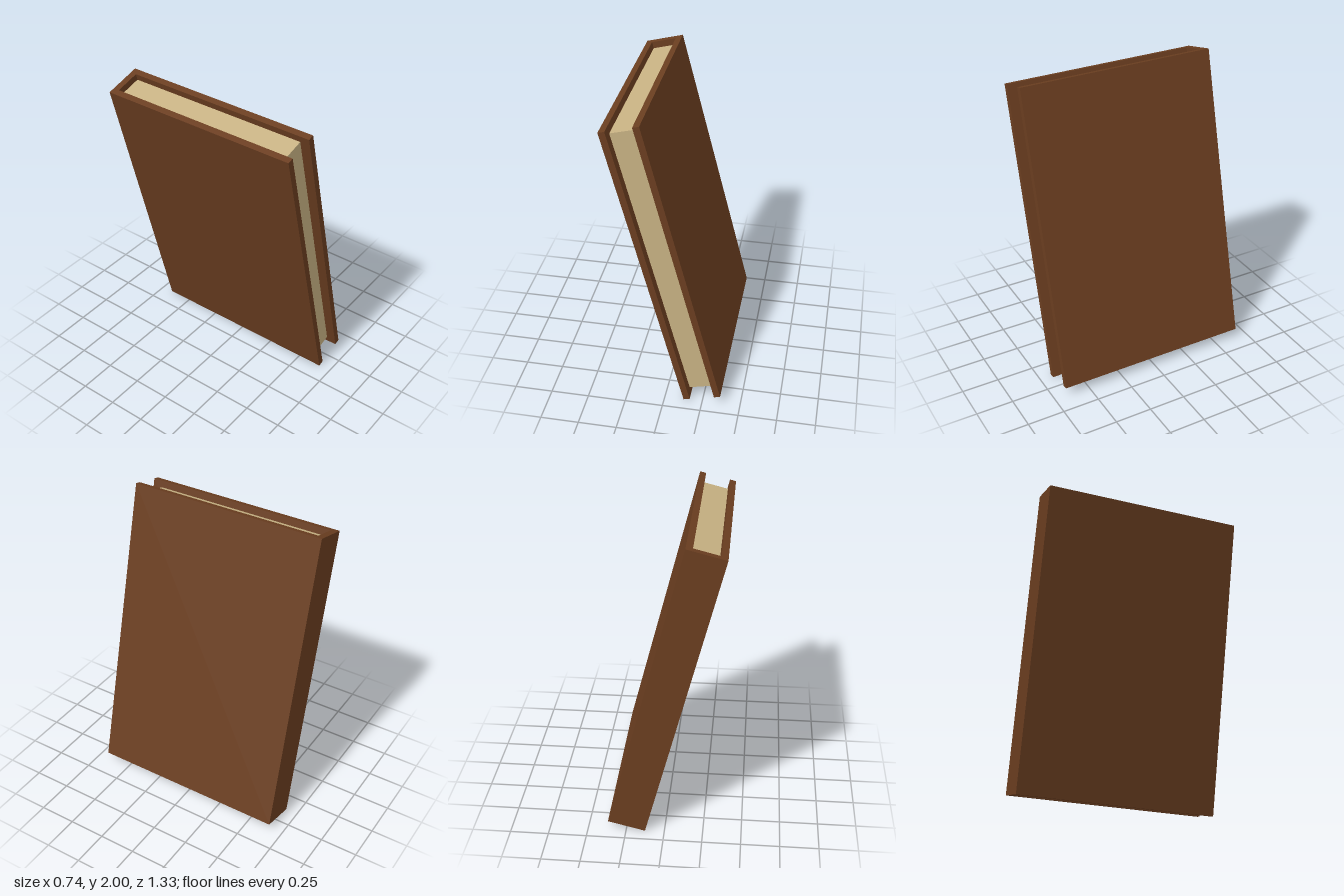
import * as THREE from 'three';

const W = 0.25, H = 2, D = 1.334; // book thickness, height and depth
const T = 0.0417;                 // board thickness

export function createModel() {
  const model = new THREE.Group();
  model.name = 'leaningBook';

  // Cover: U-shaped section (two boards joined by the spine), extruded along the height
  const w = W / 2, d = D / 2;
  const section = new THREE.Shape([
    [-w, -d], [-w + T, -d], [-w + T, d - T], [w - T, d - T],
    [w - T, -d], [w, -d], [w, d], [-w, d],
  ].map(([x, y]) => new THREE.Vector2(x, y)));
  const coverGeo = new THREE.ExtrudeGeometry(section, { depth: H, bevelEnabled: false });
  coverGeo.translate(0, 0, -H / 2).rotateX(-Math.PI / 2); // spine turns to the back
  const cover = new THREE.Mesh(coverGeo, new THREE.MeshStandardMaterial({ color: 0x6b3e20 }));
  cover.name = 'cover';

  // Page block: set in from the top, bottom and fore edge, tight against the spine
  const foreInset = 0.065, pageInset = 0.044;
  const pages = new THREE.Mesh(
    new THREE.BoxGeometry(W - 2 * T, H - 2 * pageInset, D - T - foreInset),
    new THREE.MeshStandardMaterial({ color: 0xc8b283 }),
  );
  pages.name = 'pages';
  pages.position.z = (T - foreInset) / 2;

  // Lean the whole book to its right
  const book = new THREE.Group();
  book.name = 'book';
  book.add(cover, pages);
  book.rotation.z = 0.25;
  book.position.y = (H * Math.cos(0.25) + W * Math.sin(0.25)) / 2;
  model.add(book);
  return model;
}
